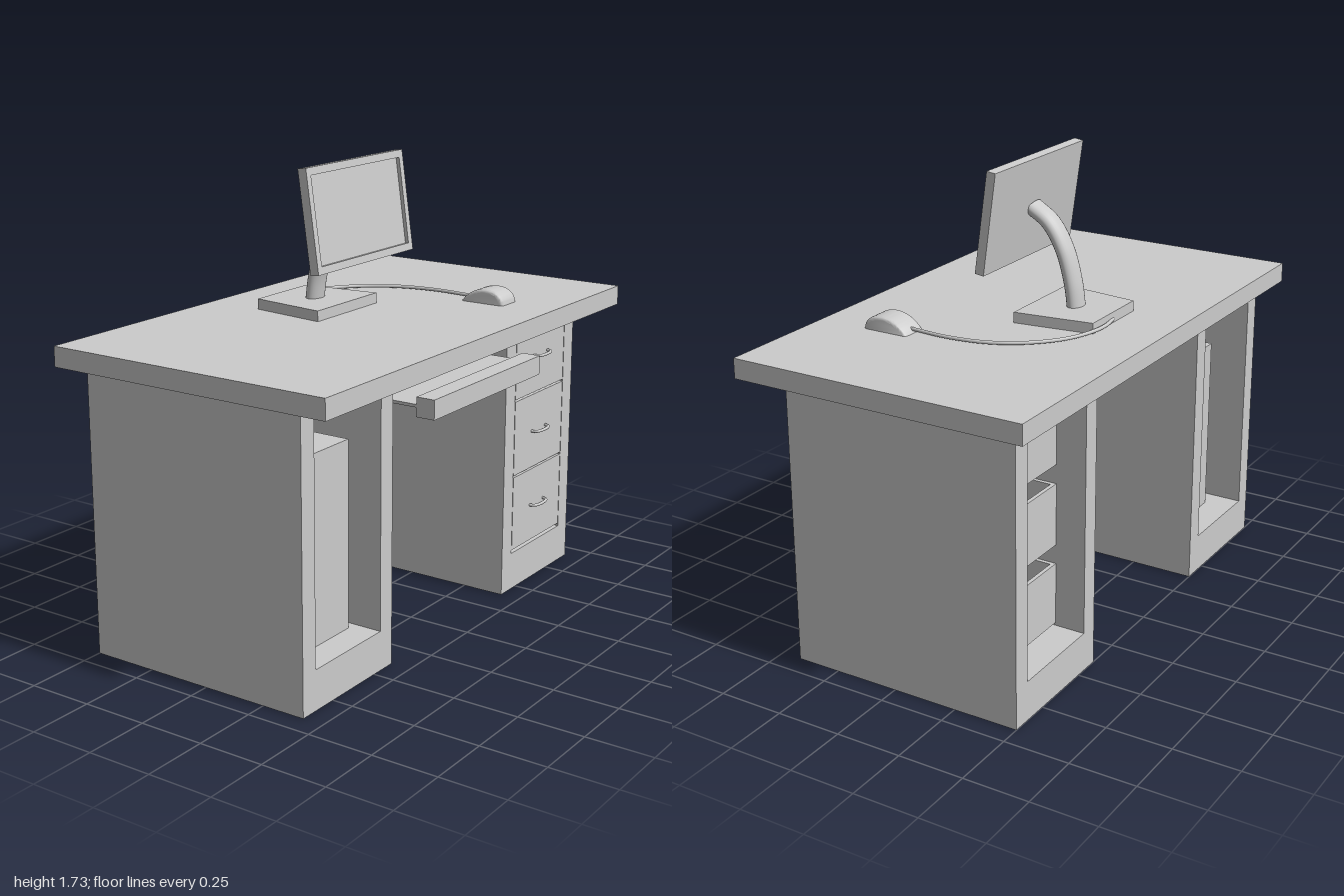
import * as THREE from 'three';
import { toCreasedNormals } from 'three/addons/utils/BufferGeometryUtils.js';

const material = new THREE.MeshStandardMaterial({ color: 0xcccccc });

function add(parent, name, geometry) {
  const mesh = new THREE.Mesh(geometry, material);
  mesh.name = name;
  parent.add(mesh);
  return mesh;
}

// Box given by its limits on each axis
function box(parent, name, [x0, x1], [y0, y1], [z0, z1]) {
  const mesh = add(parent, name, new THREE.BoxGeometry(x1 - x0, y1 - y0, z1 - z0));
  mesh.position.set((x0 + x1) / 2, (y0 + y1) / 2, (z0 + z1) / 2);
  return mesh;
}

function subgroup(parent, name) {
  const group = new THREE.Group();
  group.name = name;
  parent.add(group);
  return group;
}

const shapeOf = (points) => new THREE.Shape(points.map(([x, y]) => new THREE.Vector2(x, y)));
const path = (points) => new THREE.CatmullRomCurve3(points.map((p) => new THREE.Vector3(...p)));

// U-shaped cabinet shell, open at front and back
function addPedestal(parent, name, z) {
  const shape = shapeOf([[-0.265, 0], [0.265, 0], [0.265, 1.08], [0.193, 1.08],
    [0.193, 0.15], [-0.193, 0.15], [-0.193, 1.08], [-0.265, 1.08]]);
  const geometry = new THREE.ExtrudeGeometry(shape, { depth: 0.92, bevelEnabled: false });
  geometry.rotateY(Math.PI / 2);
  add(parent, name, geometry).position.set(-0.5, 0, z);
}

// Drawer: tall front panel, lower open-topped tray and a bail handle
function addDrawer(parent, y) {
  const drawer = subgroup(parent, 'drawer');
  const z0 = -0.845, z1 = -0.465, t = 0.015, top = y + 0.235;
  box(drawer, 'drawerFront', [0.4, 0.42], [y, y + 0.3], [z0, z1]);
  box(drawer, 'drawerBottom', [-0.385, 0.4], [y, y + t], [z0, z1]);
  box(drawer, 'drawerBack', [-0.385, -0.385 + t], [y + t, top], [z0, z1]);
  for (const z of [z0, z1 - t]) {
    box(drawer, 'drawerSide', [-0.385 + t, 0.4], [y + t, top], [z, z + t]);
  }
  const bail = path([[0.415, 0, -0.055], [0.435, 0, -0.049], [0.445, 0, -0.035],
    [0.445, 0, 0.035], [0.435, 0, 0.049], [0.415, 0, 0.055]]);
  add(drawer, 'drawerHandle', new THREE.TubeGeometry(bail, 24, 0.006, 8))
    .position.set(0, y + 0.15, -0.655);
}

function addMonitor(parent) {
  const monitor = subgroup(parent, 'monitor');

  // Tapered foot, wider towards the front
  const foot = new THREE.ExtrudeGeometry(
    shapeOf([[-0.348, -0.152], [-0.043, -0.19], [-0.043, 0.19], [-0.348, 0.152]]),
    { depth: 0.04, bevelEnabled: false });
  foot.rotateX(-Math.PI / 2);
  add(monitor, 'monitorFoot', foot).position.y = 1.155;

  // Curved neck with an oval section
  const curve = path([[-0.195, 1.18, 0], [-0.18, 1.28, 0], [-0.143, 1.4, 0],
    [-0.085, 1.49, 0], [-0.01, 1.54, 0]]);
  const neck = new THREE.TubeGeometry(curve, 28, 0.03, 24);
  neck.scale(1, 1, 1.5);
  add(monitor, 'monitorNeck', neck);

  // Tilted display: back panel plus a raised frame
  const display = subgroup(monitor, 'display');
  display.position.set(0.002, 1.541, 0);
  display.rotation.z = 0.14;
  box(display, 'screen', [-0.018, 0.004], [-0.19, 0.19], [-0.305, 0.305]);
  const outline = shapeOf([[-0.305, -0.19], [0.305, -0.19], [0.305, 0.19], [-0.305, 0.19]]);
  outline.holes.push(new THREE.Path(shapeOf(
    [[-0.28, -0.162], [-0.28, 0.162], [0.28, 0.162], [0.28, -0.162]]).getPoints()));
  const frame = new THREE.ExtrudeGeometry(outline, { depth: 0.014, bevelEnabled: false });
  frame.rotateY(Math.PI / 2);
  add(display, 'screenFrame', frame).position.x = 0.004;
}

function addMouse(parent) {
  // Humped body with softened sides
  const profile = new THREE.Shape();
  profile.moveTo(0.215, 1.155);
  profile.bezierCurveTo(0.235, 1.18, 0.27, 1.198, 0.305, 1.198);
  profile.bezierCurveTo(0.345, 1.198, 0.37, 1.18, 0.37, 1.155);
  const body = new THREE.ExtrudeGeometry(profile, {
    depth: 0.08, curveSegments: 14, bevelThickness: 0.014, bevelSize: 0.012, bevelSegments: 4,
  });
  // Keep the underside resting on the desktop
  const pos = body.attributes.position;
  for (let i = 0; i < pos.count; i++) pos.setY(i, Math.max(pos.getY(i), 1.155));
  add(parent, 'mouse', toCreasedNormals(body, 0.7)).position.z = -0.505;

  // Cable sweeping round to the back of the monitor foot
  const cable = path([[0.22, 1.167, -0.462], [0.05, 1.167, -0.472], [-0.1, 1.167, -0.445],
    [-0.22, 1.167, -0.375], [-0.31, 1.167, -0.27], [-0.352, 1.167, -0.15],
    [-0.357, 1.167, -0.07], [-0.345, 1.167, 0]]);
  add(parent, 'mouseCable', new THREE.TubeGeometry(cable, 60, 0.007, 8));
}

export function createModel() {
  const desk = new THREE.Group();
  desk.name = 'computerDesk';

  box(desk, 'desktop', [-0.575, 0.575], [1.08, 1.155], [-1, 1]);
  addPedestal(desk, 'computerPedestal', 0.655);
  addPedestal(desk, 'drawerPedestal', -0.655);
  box(desk, 'computerTower', [-0.385, 0.31], [0.15, 0.85], [0.5, 0.765]);
  for (const y of [0.163, 0.471, 0.779]) addDrawer(desk, y);

  // Pull-out keyboard shelf with a thick front edge
  box(desk, 'keyboardShelf', [0, 0.5], [0.962, 0.973], [-0.367, 0.367]);
  box(desk, 'keyboardShelfFront', [0.5, 0.573], [0.928, 1.0], [-0.367, 0.367]);

  addMonitor(desk);
  addMouse(desk);
  return desk;
}
